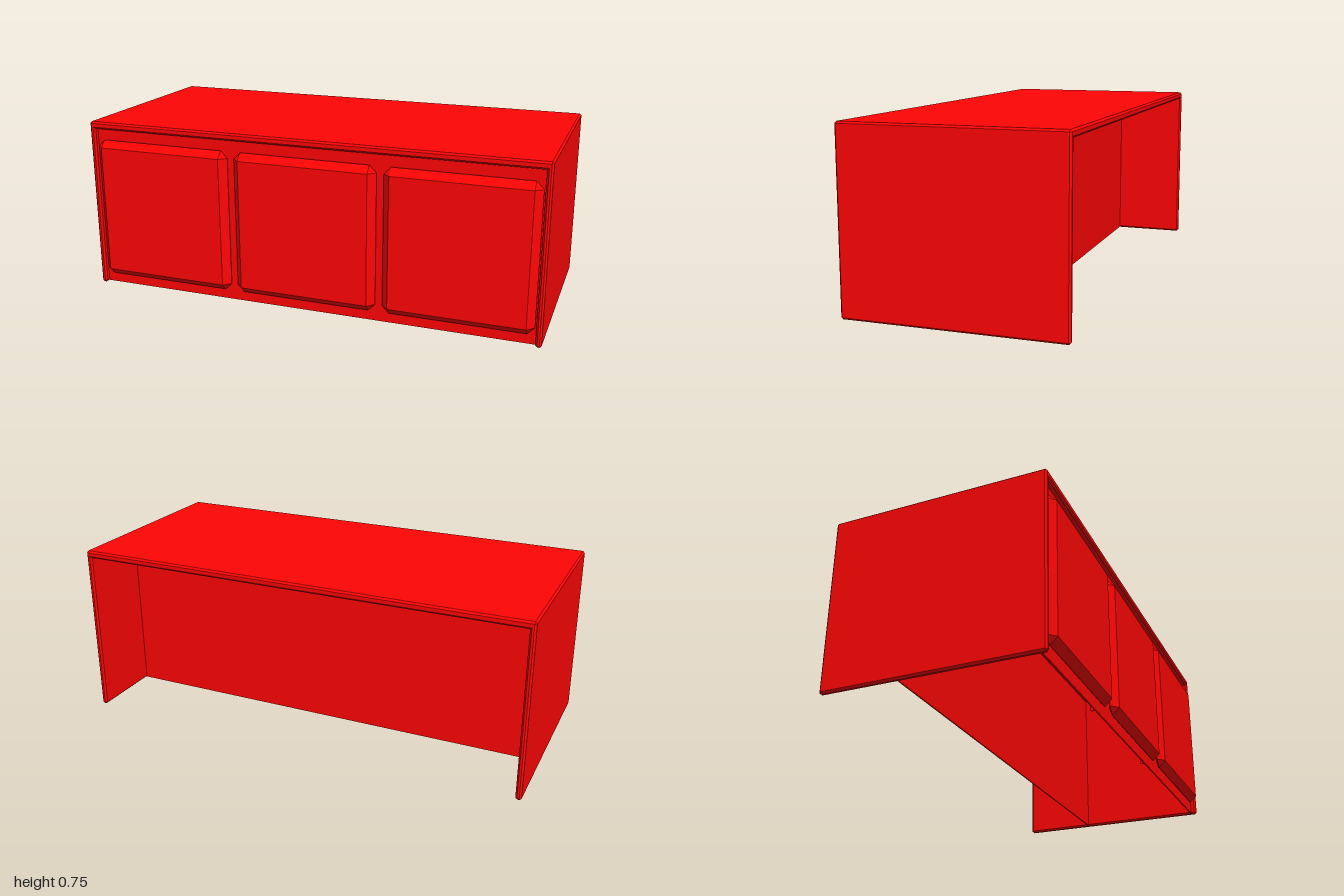
import * as THREE from 'three';
import { ConvexGeometry } from 'three/addons/geometries/ConvexGeometry.js';

const material = new THREE.MeshStandardMaterial({ color: 0xff0505, flatShading: true });

function add(group, name, geometry, x = 0, y = 0, z = 0) {
  const mesh = new THREE.Mesh(geometry, material);
  mesh.name = name;
  mesh.position.set(x, y, z);
  group.add(mesh);
}

// Box with every edge and corner cut at 45 degrees; back cuts off what lies behind that z
function chamferedBox(width, height, depth, cut, back = -depth / 2) {
  const [w, h, d] = [width / 2, height / 2, depth / 2];
  const points = [];
  for (const sx of [-1, 1]) for (const sy of [-1, 1]) for (const sz of [-1, 1]) {
    for (const [x, y, z] of [[w, h - cut, d - cut], [w - cut, h, d - cut], [w - cut, h - cut, d]]) {
      points.push(new THREE.Vector3(sx * x, sy * y, Math.max(sz * z, back)));
    }
  }
  return new ConvexGeometry(points);
}

export function createModel() {
  const desk = new THREE.Group();
  desk.name = 'desk';

  // Top and the two sides
  add(desk, 'top', chamferedBox(2, 0.032, 0.911, 0.008), 0, 0.737, -0.0055);
  for (const side of [-1, 1]) {
    add(desk, 'side', chamferedBox(0.025, 0.753, 0.911, 0.008), side * 0.9875, 0.3765, -0.0055);
  }

  // Front board and the inner board behind the knee space
  add(desk, 'frontBoard', new THREE.BoxGeometry(1.955, 0.725, 0.006), 0, 0.3655, 0.423);
  add(desk, 'innerBoard', new THREE.BoxGeometry(1.955, 0.725, 0.006), 0, 0.3655, -0.135);

  // Three raised panels on the front
  const panel = chamferedBox(0.626, 0.624, 0.062, 0.03, -0.01);
  for (const i of [-1, 0, 1]) add(desk, 'raisedPanel', panel, i * 0.656, 0.36, 0.434);

  // Stepped braces between the panels, behind the front board
  const profile = [
    [-0.42, 0.06], [-0.36, 0.06], [-0.36, 0.25], [-0.29, 0.25], [-0.29, 0.725], [-0.42, 0.725],
  ].map(([z, y]) => new THREE.Vector2(z, y));
  const brace = new THREE.ExtrudeGeometry(new THREE.Shape(profile), { depth: 0.004, bevelEnabled: false })
    .translate(0, 0, -0.002)
    .rotateY(Math.PI / 2);
  for (const side of [-1, 1]) add(desk, 'brace', brace, side * 0.33);

  return desk;
}
